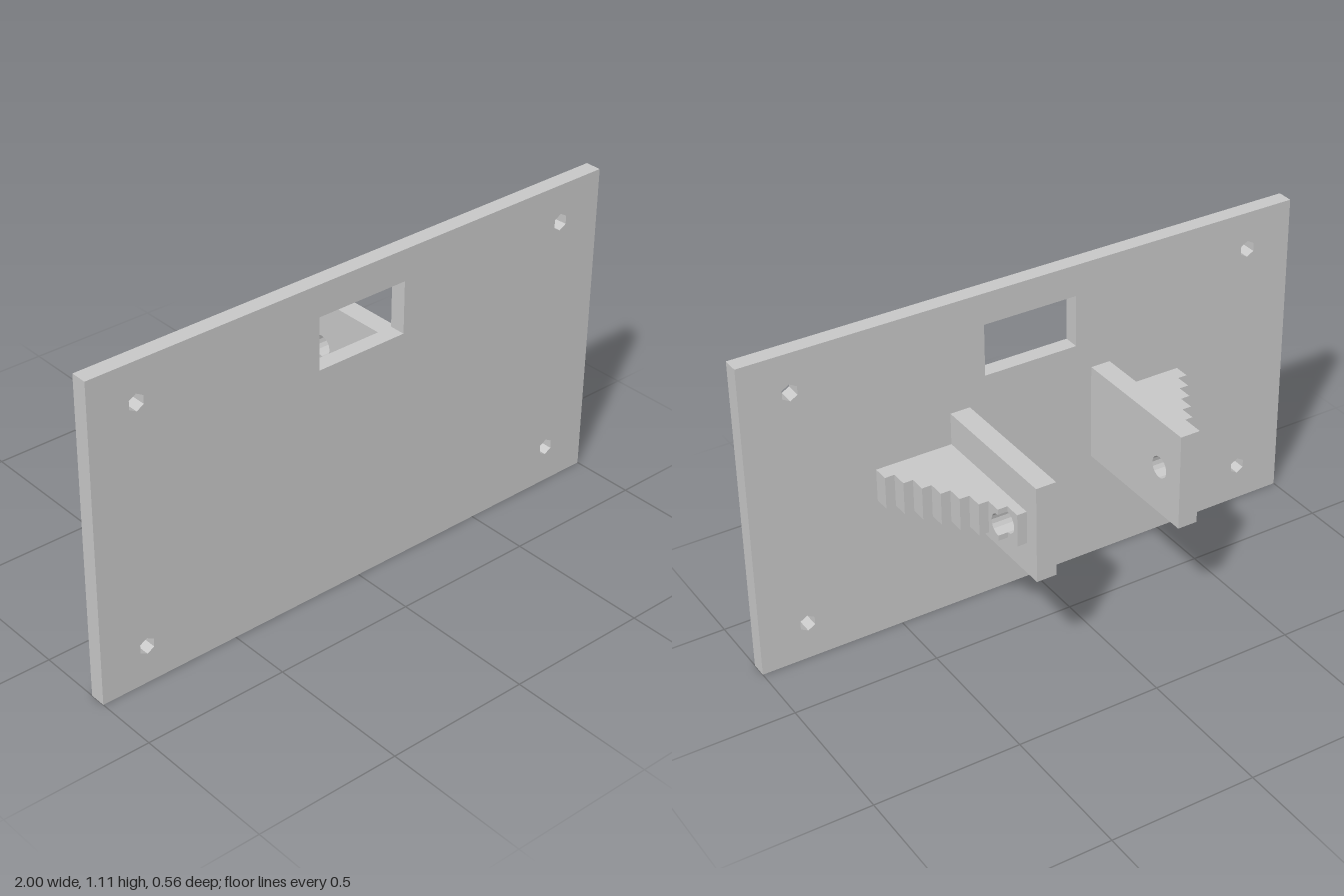
import * as THREE from 'three';

const grey = new THREE.MeshStandardMaterial({ color: 0xc8c8c8 });
grey.name = 'light grey';

const BACK = 0.222; // z of the plate's rear face
const MID_Y = 0.557; // height of the bracket centre line
const HOLE_Z = -0.167, HOLE_R = 0.038;
const STEP = 0.0557, RISE = 0.0335;

function rect(Type, x0, y0, x1, y1) {
  return new Type([[x0, y0], [x1, y0], [x1, y1], [x0, y1]].map(p => new THREE.Vector2(...p)));
}

// regular polygon or arc points
function arc(cx, cy, r, sides, from, sweep, count = sides) {
  return Array.from({ length: count }, (_, i) => {
    const a = from + (sweep * i) / sides;
    return new THREE.Vector2(cx + r * Math.cos(a), cy + r * Math.sin(a));
  });
}

function extrude(shape, depth) {
  return new THREE.ExtrudeGeometry(shape, { depth, bevelEnabled: false });
}

function mesh(name, geometry) {
  const m = new THREE.Mesh(geometry, grey);
  m.name = name;
  return m;
}

// slab drawn in (-z, y) and extruded along x, on either side of the model
function sideSlab(name, shape, x0, depth, side) {
  const m = mesh(name, extrude(shape, depth).rotateY(Math.PI / 2));
  m.position.x = side > 0 ? x0 : -x0 - depth;
  return m;
}

function boltHole() {
  return new THREE.Path(arc(-HOLE_Z, MID_Y, HOLE_R, 16, 0, Math.PI * 2));
}

function bracket(side) {
  const group = new THREE.Group();
  group.name = side > 0 ? 'leftBracket' : 'rightBracket';

  // upright lug with a bolt hole
  const lug = rect(THREE.Shape, -BACK, 0.388, 0.278, 0.726);
  lug.holes.push(boltHole());
  group.add(sideSlab('lug', lug, 0.226, 0.07, side));

  // stepped rib, layer by layer outward
  const y0 = MID_Y - 0.057, y1 = MID_Y + 0.057;
  for (let i = 0; i < 8; i++) {
    const end = 0.2235 - i * STEP;
    let shape;
    if (i === 1) {
      // the bolt hole cuts a half-round notch in the end of this layer
      const notch = arc(-HOLE_Z, MID_Y, HOLE_R, 8, -Math.PI / 2, -Math.PI, 9);
      shape = new THREE.Shape([
        new THREE.Vector2(-BACK, y0), new THREE.Vector2(-HOLE_Z, y0),
        ...notch,
        new THREE.Vector2(-HOLE_Z, y1), new THREE.Vector2(-BACK, y1),
      ]);
    } else {
      shape = rect(THREE.Shape, -BACK, y0, end, y1);
      if (i === 0) shape.holes.push(boltHole());
    }
    group.add(sideSlab('ribStep', shape, 0.296 + i * RISE, RISE, side));
  }
  return group;
}

export function createModel() {
  const model = new THREE.Group();
  model.name = 'mountingPlate';

  // plate with a window and four corner screw holes
  const plate = rect(THREE.Shape, -1, 0, 1, 1.112);
  plate.holes.push(rect(THREE.Path, -0.168, 0.822, 0.168, 1.003));
  for (const x of [-0.833, 0.833])
    for (const y of [0.134, 0.979])
      plate.holes.push(new THREE.Path(arc(x, y, 0.029, 6, Math.PI / 2, Math.PI * 2)));
  const panel = mesh('panel', extrude(plate, 0.056));
  panel.position.z = BACK;
  model.add(panel);

  for (const side of [1, -1]) model.add(bracket(side));
  return model;
}
